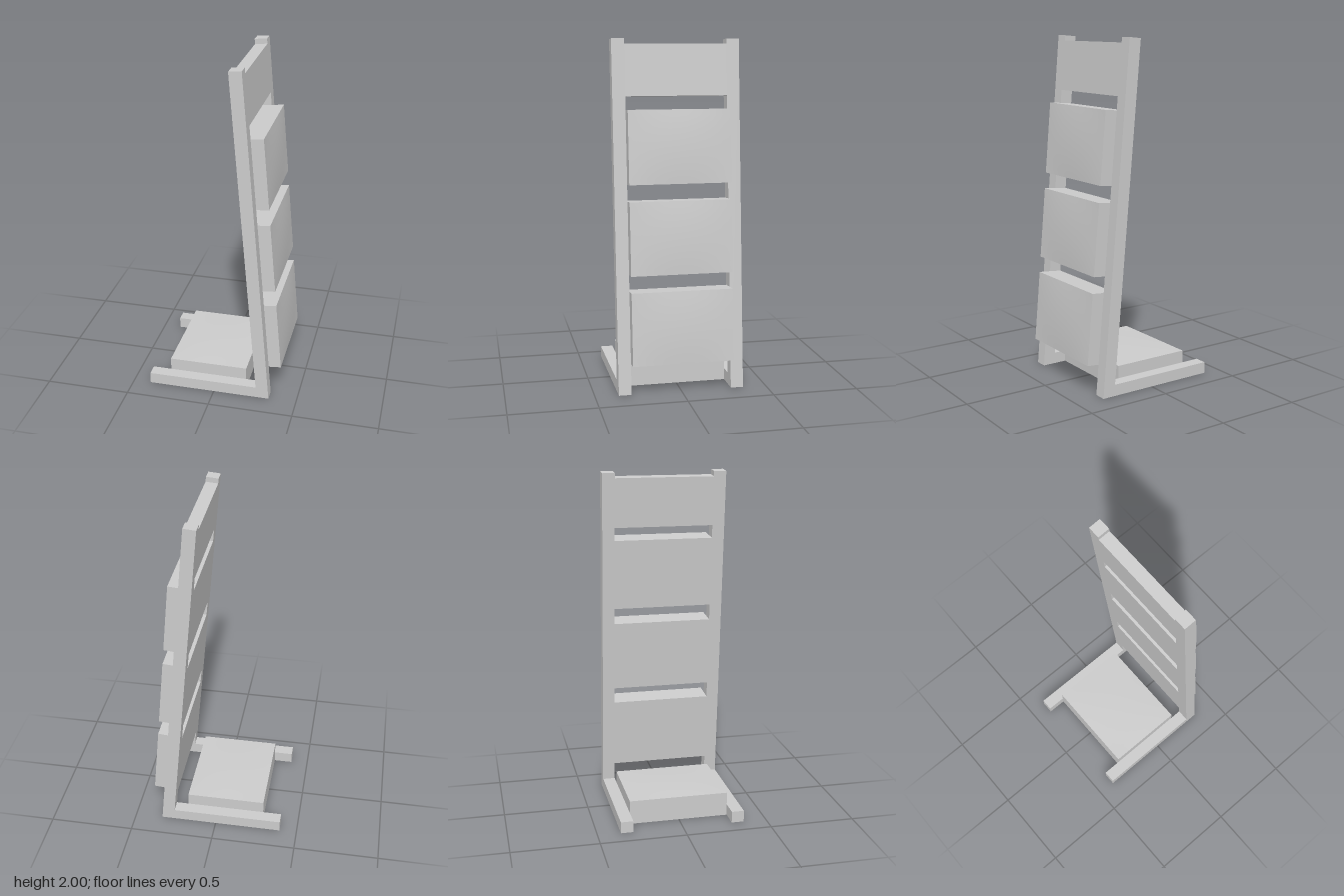
import * as THREE from 'three';

const LEAN = Math.atan(0.0875);   // backward lean of the back
const RAIL = 0.0725;              // rail thickness
const INNER = 0.584;              // clear width between the side frames
const OUTER_X = 0.335;            // foot of the leaning rails

const material = new THREE.MeshStandardMaterial({ color: 0xcccccc });

function addMesh(parent, geometry, name) {
  const mesh = new THREE.Mesh(geometry, material);
  mesh.name = name;
  parent.add(mesh);
  return mesh;
}

// Block whose top bulges gently towards the middle; its base sits at y = 0.
function pillowBlock(length, height, width, rise) {
  const g = new THREE.BoxGeometry(length, height, width, 12, 1, 12);
  g.translate(0, height / 2, 0);
  const p = g.attributes.position;
  for (let i = 0; i < p.count; i++) {
    if (p.getY(i) < height / 2) continue;
    const u = p.getX(i) / (length / 2), v = p.getZ(i) / (width / 2);
    p.setY(i, height + rise * (1 - u * u) * (1 - v * v));
  }
  g.computeVertexNormals();
  return g;
}

export function createModel() {
  const model = new THREE.Group();
  model.name = 'leaningFrame';

  // L-shaped side frames: flat foot plus leaning rail
  const footTop = 0.067, railLength = 2.007;
  const c = Math.cos(LEAN), s = Math.sin(LEAN);
  const topX = OUTER_X - s * railLength, topY = c * railLength;
  const profile = new THREE.Shape([
    [-0.396, 0], [OUTER_X, 0], [topX, topY],
    [topX - RAIL * c, topY - RAIL * s],
    [OUTER_X - footTop * s / c - RAIL / c, footTop],
    [-0.396, footTop],
  ].map(([x, y]) => new THREE.Vector2(x, y)));
  for (const side of [-1, 1]) {
    const g = new THREE.ExtrudeGeometry(profile, { depth: 0.073, bevelEnabled: false });
    g.translate(0, 0, side > 0 ? INNER / 2 : -INNER / 2 - 0.073);
    addMesh(model, g, side > 0 ? 'frontSideFrame' : 'rearSideFrame');
  }

  // Cushioned base slab between the feet
  const seat = addMesh(model, pillowBlock(0.468, 0.141, INNER, 0.007), 'seat');
  seat.position.x = -0.051;

  // Everything on the back is placed in the leaning frame of the rails
  const back = new THREE.Group();
  back.name = 'back';
  back.position.x = OUTER_X;
  back.rotation.z = LEAN;
  model.add(back);

  // Flat top panel
  const panel = addMesh(back, new THREE.BoxGeometry(RAIL, 0.289, INNER), 'topPanel');
  panel.position.set(-RAIL / 2, 1.8325, 0);

  // Three padded blocks, running through the rails and bulging outwards
  for (let i = 0; i < 3; i++) {
    const g = pillowBlock(0.415, RAIL + 0.073, INNER, 0.009);
    g.rotateZ(-Math.PI / 2);
    const pad = addMesh(back, g, `backPad${i + 1}`);
    pad.position.set(-RAIL, 0.385 + i * 0.5095, 0);
  }

  return model;
}
